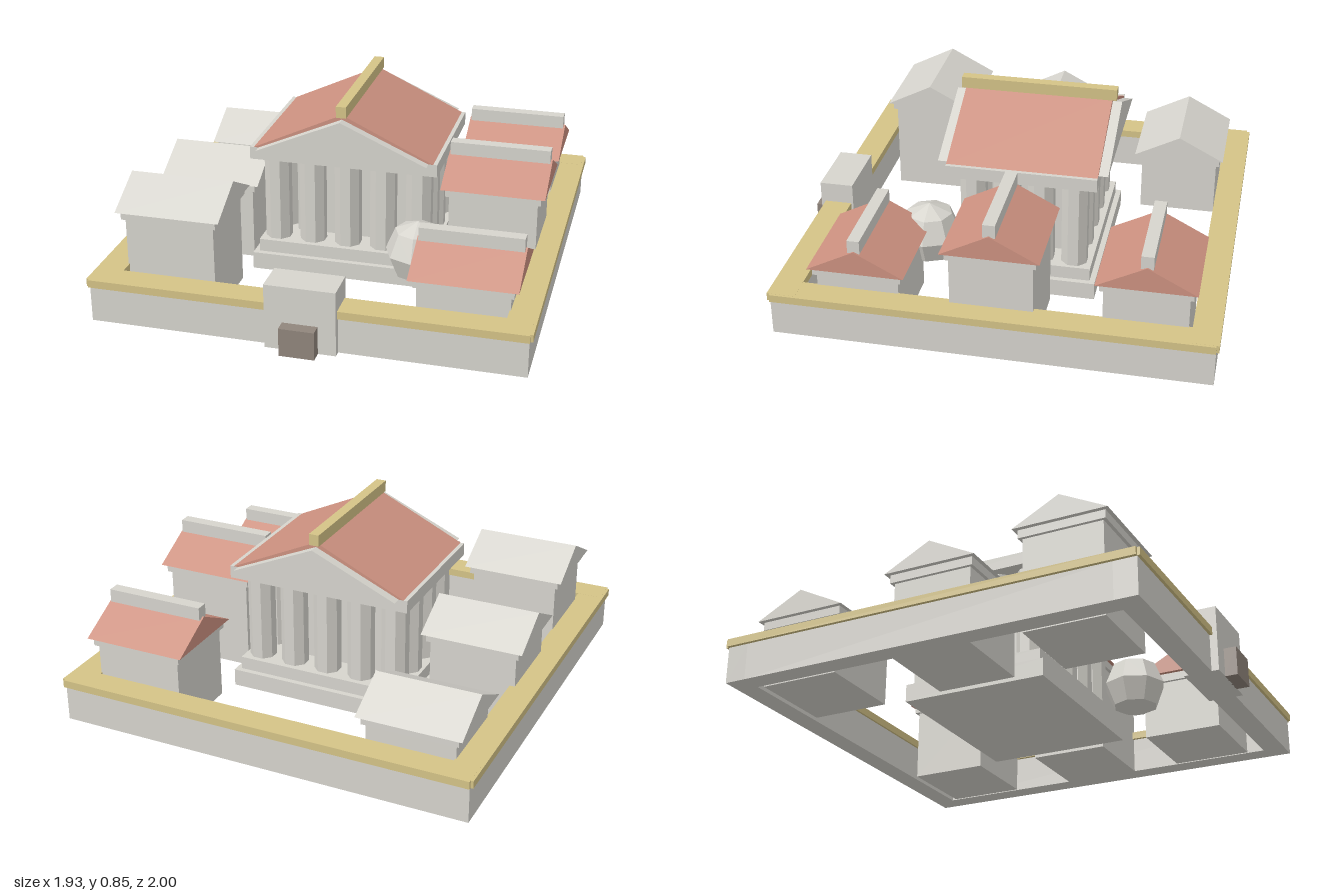
import * as THREE from 'three';

export function createModel() {
  const root = new THREE.Group();
  root.name = 'templeCompound';
  const paint = (name, color) => {
    const m = new THREE.MeshStandardMaterial({ color });
    m.name = name;
    return m;
  };
  const stone = paint('stone', 0xd6d4cd);
  const gold = paint('gold', 0xd4c387);
  const clay = paint('clay', 0xcc9180);
  const wood = paint('darkWood', 0x90857c);

  const add = (parent, name, geo, mat) => {
    const mesh = new THREE.Mesh(geo, mat);
    mesh.name = name;
    parent.add(mesh);
    return mesh;
  };
  // Box given by its limits on each axis
  const box = (parent, name, mat, x0, x1, y0, y1, z0, z1) => {
    const mesh = add(parent, name, new THREE.BoxGeometry(x1 - x0, y1 - y0, z1 - z0), mat);
    mesh.position.set((x0 + x1) / 2, (y0 + y1) / 2, (z0 + z1) / 2);
    return mesh;
  };
  // Triangular prism, ridge along z, centred, base at y = 0
  const gable = (half, height, length) => {
    const s = new THREE.Shape([
      new THREE.Vector2(-half, 0), new THREE.Vector2(half, 0), new THREE.Vector2(0, height),
    ]);
    return new THREE.ExtrudeGeometry(s, { depth: length, bevelEnabled: false }).translate(0, 0, -length / 2);
  };
  const facet = (geo) => {
    const g = geo.toNonIndexed();
    g.computeVertexNormals();
    return g;
  };

  // Outer wall ring with overhanging gold caps
  const wall = new THREE.Group();
  wall.name = 'outerWall';
  root.add(wall);
  box(wall, 'frontWall', stone, -0.95, 0.95, 0, 0.165, 0.81, 0.912);
  box(wall, 'backWall', stone, -0.95, 0.95, 0, 0.165, -0.987, -0.89);
  box(wall, 'frontCap', gold, -0.953, 0.953, 0.165, 0.2, 0.8, 0.925);
  box(wall, 'backCap', gold, -0.953, 0.953, 0.165, 0.2, -1, -0.88);
  for (const s of [-1, 1]) {
    const x = [0.855 * s, 0.95 * s].sort((a, b) => a - b);
    const c = [0.84 * s, 0.965 * s].sort((a, b) => a - b);
    box(wall, 'sideWall', stone, x[0], x[1], 0, 0.165, -0.89, 0.81);
    box(wall, 'sideCap', gold, c[0], c[1], 0.165, 0.1995, -0.987, 0.912);
  }

  // Gatehouse
  box(root, 'gatehouse', stone, -0.155, 0.155, 0, 0.295, 0.79, 0.945);
  box(root, 'gateDoor', wood, -0.077, 0.077, 0, 0.128, 0.94, 1);

  // Main temple
  const temple = new THREE.Group();
  temple.name = 'temple';
  root.add(temple);
  box(temple, 'lowerStep', stone, -0.43, 0.43, 0, 0.08, -0.408, 0.262);
  box(temple, 'upperStep', stone, -0.405, 0.405, 0.08, 0.14, -0.383, 0.237);
  box(temple, 'innerHall', stone, -0.26, 0.26, 0.14, 0.55, -0.235, 0.09);
  box(temple, 'entablature', stone, -0.43, 0.43, 0.552, 0.61, -0.408, 0.262);

  // Colonnade round all four sides
  const columnGeo = facet(new THREE.CylinderGeometry(0.062, 0.062, 0.412, 8).rotateY(Math.PI / 8));
  const nx = 5, nz = 4;
  for (let i = 0; i < nx; i++) {
    for (let j = 0; j < nz; j++) {
      if (i > 0 && i < nx - 1 && j > 0 && j < nz - 1) continue;
      const col = add(temple, 'column', columnGeo, stone);
      col.position.set(-0.332 + (0.664 * i) / (nx - 1), 0.346, -0.302 + (0.458 * j) / (nz - 1));
    }
  }
  add(temple, 'pediment', gable(0.39, 0.172, 0.755), stone).position.set(0, 0.61, -0.073);
  add(temple, 'templeRoof', gable(0.412, 0.193, 0.67), clay).position.set(0, 0.61, -0.073);
  box(temple, 'templeRidge', gold, -0.023, 0.023, 0.795, 0.847, -0.428, 0.28);

  // Side houses: [x, z, eave height] with clay roofs on the left, stone on the right
  const house = (name, x, z, eave, roofMat, hasRidge) => {
    const g = new THREE.Group();
    g.name = name;
    g.position.set(x, 0, z);
    root.add(g);
    box(g, 'houseWalls', stone, -0.2, 0.2, 0, eave - 0.037, -0.18, 0.18);
    box(g, 'houseCornice', stone, -0.215, 0.215, eave - 0.037, eave, -0.195, 0.195);
    add(g, 'houseRoof', gable(0.213, 0.11, 0.47).rotateY(Math.PI / 2), roofMat).position.y = eave;
    if (hasRidge) box(g, 'houseRidge', stone, -0.227, 0.227, eave + 0.1, eave + 0.16, -0.027, 0.027);
  };
  const rows = [[0.645, 0.553, 0.295, 0.455], [0.664, -0.035, 0.455, 0.375], [0.645, -0.685, 0.375, 0.3]];
  for (const [x, z, leftEave, rightEave] of rows) {
    house('leftHouse', x, z, leftEave, clay, true);
    house('rightHouse', -x, z, rightEave, stone, false);
  }

  // Faceted dome beside the temple
  add(root, 'dome', facet(new THREE.SphereGeometry(0.145, 8, 4)), stone).position.set(0.37, 0.232, 0.355);

  return root;
}
